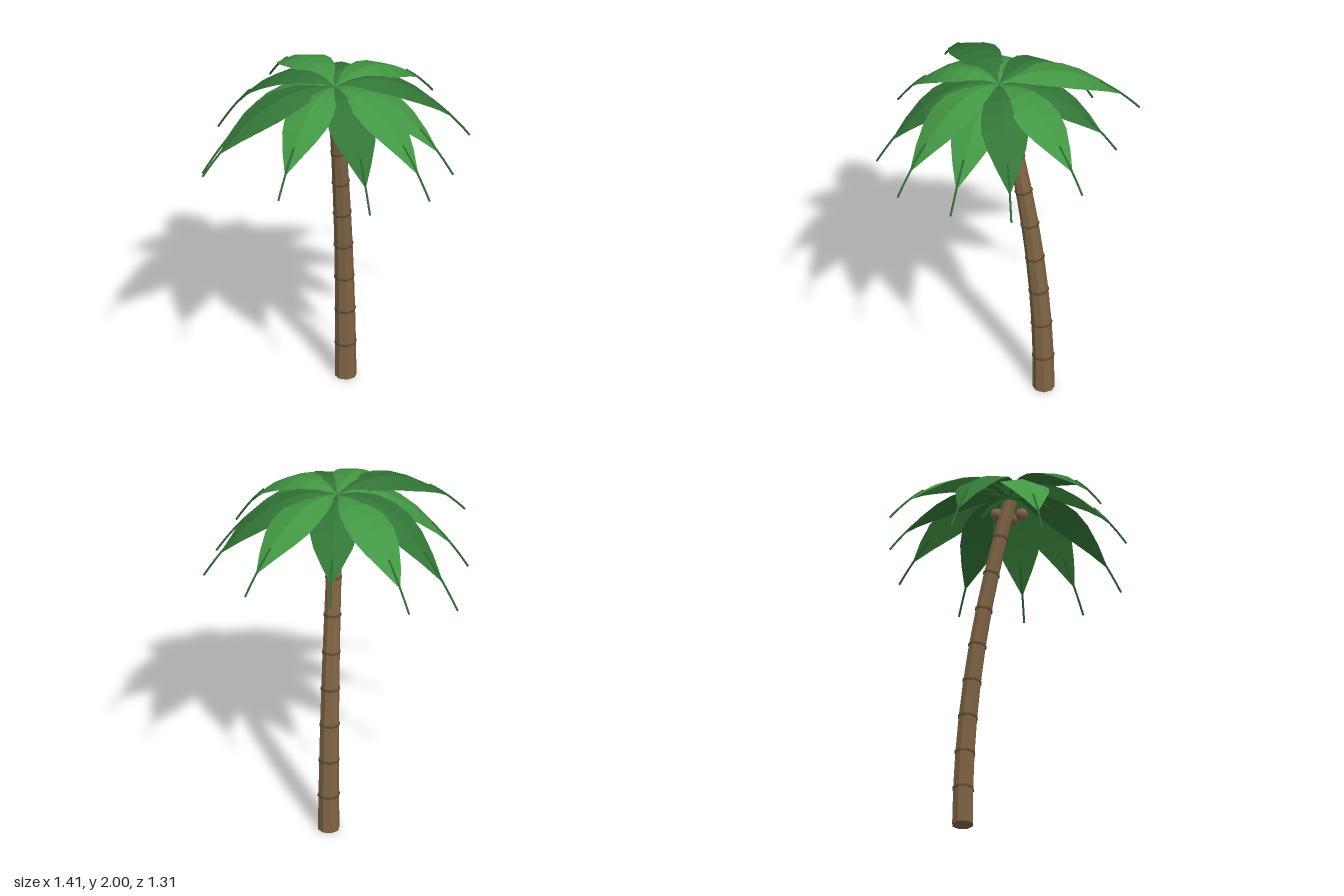
import * as THREE from 'three';

const material = (name, color, extra = {}) => {
  const m = new THREE.MeshStandardMaterial({ color, ...extra });
  m.name = name;
  return m;
};

const TRUNK_HEIGHT = 1.93;
const trunkZ = (y) => -0.26 + 0.07 * y * y; // forward lean of the trunk
const trunkRadius = (y) => 0.06 - 0.0108 * y;
const CROWN = new THREE.Vector3(0.017, 1.965, 0);

// Frond tips: x, y, z, and height of the arch above the crown.
// Light and dark green alternate around the crown.
const FRONDS = [
  [0.637, 1.53, 0.361, 0.032], [0.355, 1.53, 0.586, 0.025],
  [-0.145, 1.59, 0.647, 0.032], [-0.596, 1.62, 0.538, 0.035],
  [-0.671, 1.45, 0.218, 0.02], [-0.701, 1.46, -0.278, 0.032],
  [-0.494, 1.62, -0.628, 0.035], [-0.062, 1.63, -0.654, 0.02],
  [0.415, 1.64, -0.632, 0.035], [0.697, 1.57, -0.323, 0.032],
  [0.69, 1.52, 0.034, 0.018],
];

// Blade outline: position along the frond, half width
const BLADE = [
  [0, 0.012], [0.12, 0.055], [0.25, 0.1], [0.38, 0.125],
  [0.5, 0.13], [0.62, 0.107], [0.75, 0.06], [0.875, 0.003],
];

// Arching midrib as a function of s from 0 (crown) to 1 (tip)
function midrib([x, y, z, peak]) {
  const drop = CROWN.y - y;
  const a = 2 * peak + Math.sqrt(4 * peak * peak + 4 * peak * drop);
  return (s) => new THREE.Vector3(
    CROWN.x + (x - CROWN.x) * s,
    CROWN.y + a * s - (a + drop) * s * s,
    CROWN.z + (z - CROWN.z) * s,
  );
}

// Blade folded along its midrib, three points per cross-section
function bladeGeometry(path) {
  const out = path(1).sub(path(0)).setY(0).normalize();
  const side = new THREE.Vector3(out.z, 0, -out.x);
  const positions = [], index = [];
  BLADE.forEach(([s, w], i) => {
    const mid = path(s);
    for (const k of [-1, 0, 1]) {
      const p = mid.clone().addScaledVector(side, k * w);
      p.y -= Math.abs(k) * w * 0.24;
      positions.push(p.x, p.y, p.z);
    }
    if (i === 0) return;
    for (const k of [0, 1]) {
      const a = (i - 1) * 3 + k, b = a + 1, c = a + 3, d = a + 4;
      index.push(a, c, b, b, c, d);
    }
  });
  const g = new THREE.BufferGeometry();
  g.setAttribute('position', new THREE.Float32BufferAttribute(positions, 3));
  g.setIndex(index);
  g.computeVertexNormals();
  return g;
}

export function createModel() {
  const bark = material('bark brown', 0x806445, { flatShading: true });
  const ringBrown = material('ring brown', 0x624b34, { flatShading: true });
  const nut = material('coconut brown', 0x82644a);
  const leafOptions = { flatShading: true, side: THREE.DoubleSide };
  const leaves = [
    material('light leaf green', 0x439844, leafOptions),
    material('dark leaf green', 0x337637, leafOptions),
  ];
  const rib = material('rib green', 0x2f6e35);

  const model = new THREE.Group();
  model.name = 'palmTree';
  const add = (parent, name, geometry, mat) => {
    const mesh = new THREE.Mesh(geometry, mat);
    mesh.name = name;
    parent.add(mesh);
    return mesh;
  };

  // Trunk: tapered eight-sided column bent along the lean
  const trunk = new THREE.CylinderGeometry(
    trunkRadius(TRUNK_HEIGHT), trunkRadius(0), TRUNK_HEIGHT, 8, 9);
  trunk.rotateY(Math.PI / 8);
  trunk.translate(CROWN.x, TRUNK_HEIGHT / 2, 0);
  const p = trunk.attributes.position;
  for (let i = 0; i < p.count; i++) p.setZ(i, p.getZ(i) + trunkZ(p.getY(i)));
  trunk.computeVertexNormals();
  add(model, 'trunk', trunk, bark);

  // Growth rings
  for (let i = 1; i <= 8; i++) {
    const y = i * TRUNK_HEIGHT / 9;
    const r = trunkRadius(y) + 0.004;
    const g = new THREE.CylinderGeometry(r, r, 0.014, 8).rotateY(Math.PI / 8);
    const ring = add(model, 'trunkRing', g, ringBrown);
    ring.position.set(CROWN.x, y, trunkZ(y));
    ring.rotation.x = Math.atan(0.14 * y);
  }

  // Fronds: folded blade with a thin rib that runs past its tip
  FRONDS.forEach((tip, i) => {
    const frond = new THREE.Group();
    frond.name = 'frond';
    model.add(frond);
    const path = midrib(tip);
    add(frond, 'blade', bladeGeometry(path), leaves[i % 2]);
    const curve = new THREE.CatmullRomCurve3([0.72, 0.8, 0.875, 0.94, 1].map(path));
    add(frond, 'rib', new THREE.TubeGeometry(curve, 6, 0.006, 5), rib);
  });

  // Coconuts under the crown
  for (const c of [[0.08, 1.86, 0], [0.035, 1.866, 0.062], [0.028, 1.865, -0.075]]) {
    add(model, 'coconut', new THREE.SphereGeometry(0.035, 12, 8), nut).position.set(...c);
  }
  return model;
}
